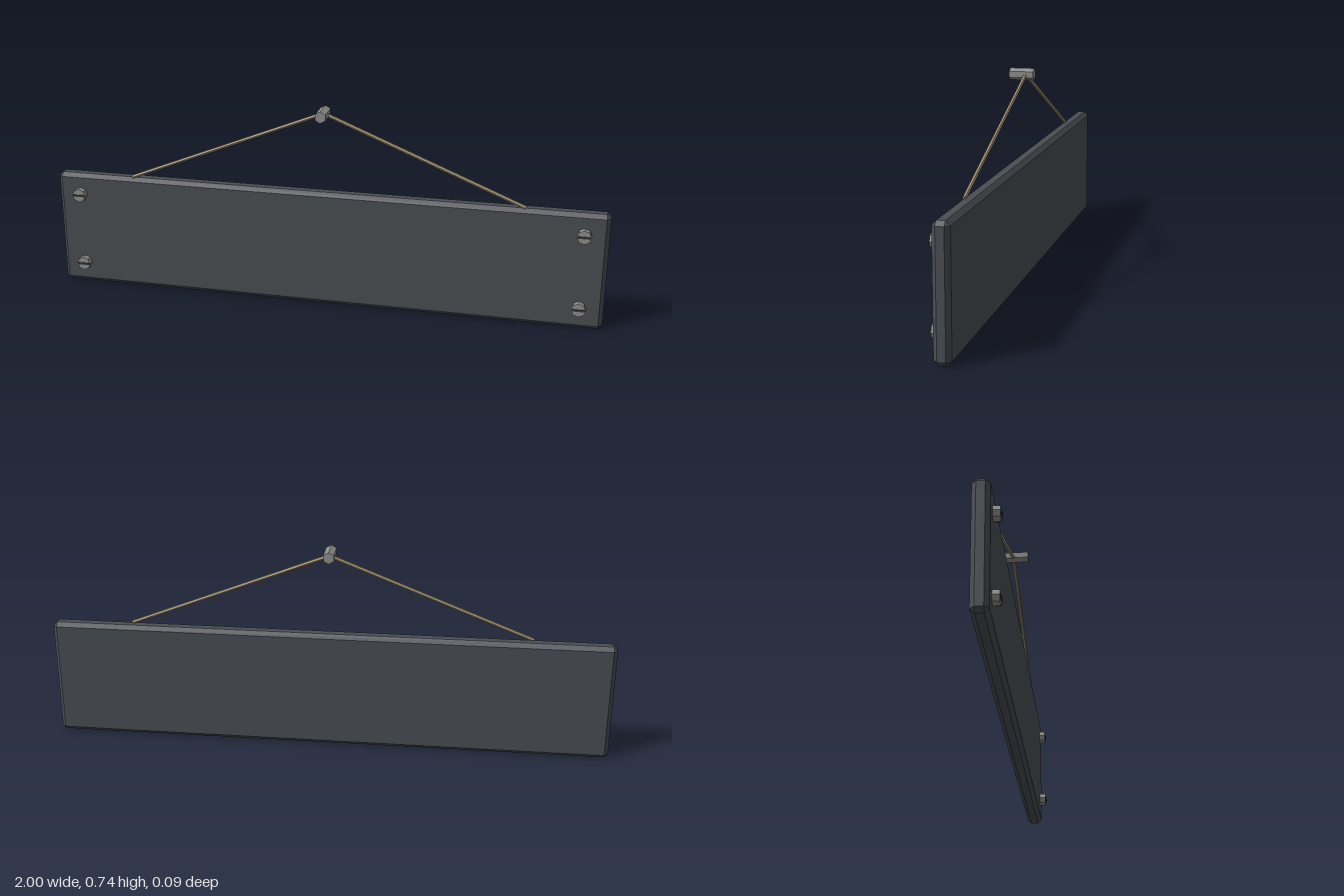
import * as THREE from 'three';
import { ConvexGeometry } from 'three/addons/geometries/ConvexGeometry.js';

const material = (name, color) => {
  const m = new THREE.MeshStandardMaterial({ color });
  m.name = name;
  return m;
};

// Box with every edge chamfered: each corner becomes three points
function chamferedBox(w, h, d, c) {
  const points = [];
  for (const sx of [-1, 1]) for (const sy of [-1, 1]) for (const sz of [-1, 1]) {
    for (let axis = 0; axis < 3; axis++) {
      const p = [w / 2 - c, h / 2 - c, d / 2 - c];
      p[axis] += c;
      points.push(new THREE.Vector3(p[0] * sx, p[1] * sy, p[2] * sz));
    }
  }
  return new ConvexGeometry(points);
}

// Faceted rod between two points
function rod(from, to, radius, sides) {
  const dir = to.clone().sub(from);
  const geo = new THREE.CylinderGeometry(radius, radius, dir.length(), sides).toNonIndexed();
  geo.computeVertexNormals();
  geo.applyQuaternion(new THREE.Quaternion().setFromUnitVectors(new THREE.Vector3(0, 1, 0), dir.normalize()));
  const mid = from.clone().add(to).multiplyScalar(0.5);
  return geo.translate(mid.x, mid.y, mid.z);
}

export function createModel() {
  const model = new THREE.Group();
  model.name = 'hangingSign';
  const slate = material('slate', 0x4a4e53);
  const steel = material('steel', 0x8f8f8d);
  const darkSlot = material('darkSlot', 0x3a3a3a);
  const twine = material('twine', 0xa89878);
  const V = (x, y, z) => new THREE.Vector3(x, y, z);

  const add = (name, geo, mat, parent = model) => {
    const mesh = new THREE.Mesh(geo, mat);
    mesh.name = name;
    parent.add(mesh);
    return mesh;
  };

  // Board
  add('board', chamferedBox(2, 0.429, 0.056, 0.0145), slate).position.set(0, 0.2145, -0.0135);

  // Slotted screws at the four corners
  for (const side of [-1, 1]) for (const y of [0.08, 0.352]) {
    const screw = new THREE.Group();
    screw.name = 'screw';
    screw.position.set(side * 0.915, y, 0);
    add('screwHead', rod(V(0, 0, 0.01), V(0, 0, 0.037), 0.025, 8), steel, screw);
    add('screwSlot', new THREE.BoxGeometry(0.044, 0.007, 0.006), darkSlot, screw).position.z = 0.0375;
    model.add(screw);
  }

  // Cords rising to the peg
  for (const side of [-1, 1]) {
    add(side > 0 ? 'leftCord' : 'rightCord',
      rod(V(side * 0.713, 0.43, 0), V(0, 0.715, -0.013), 0.007, 6), twine);
  }

  // Hexagonal hanging peg
  add('peg', rod(V(0, 0.715, -0.042), V(0, 0.715, 0.043), 0.021, 6), steel);

  return model;
}
